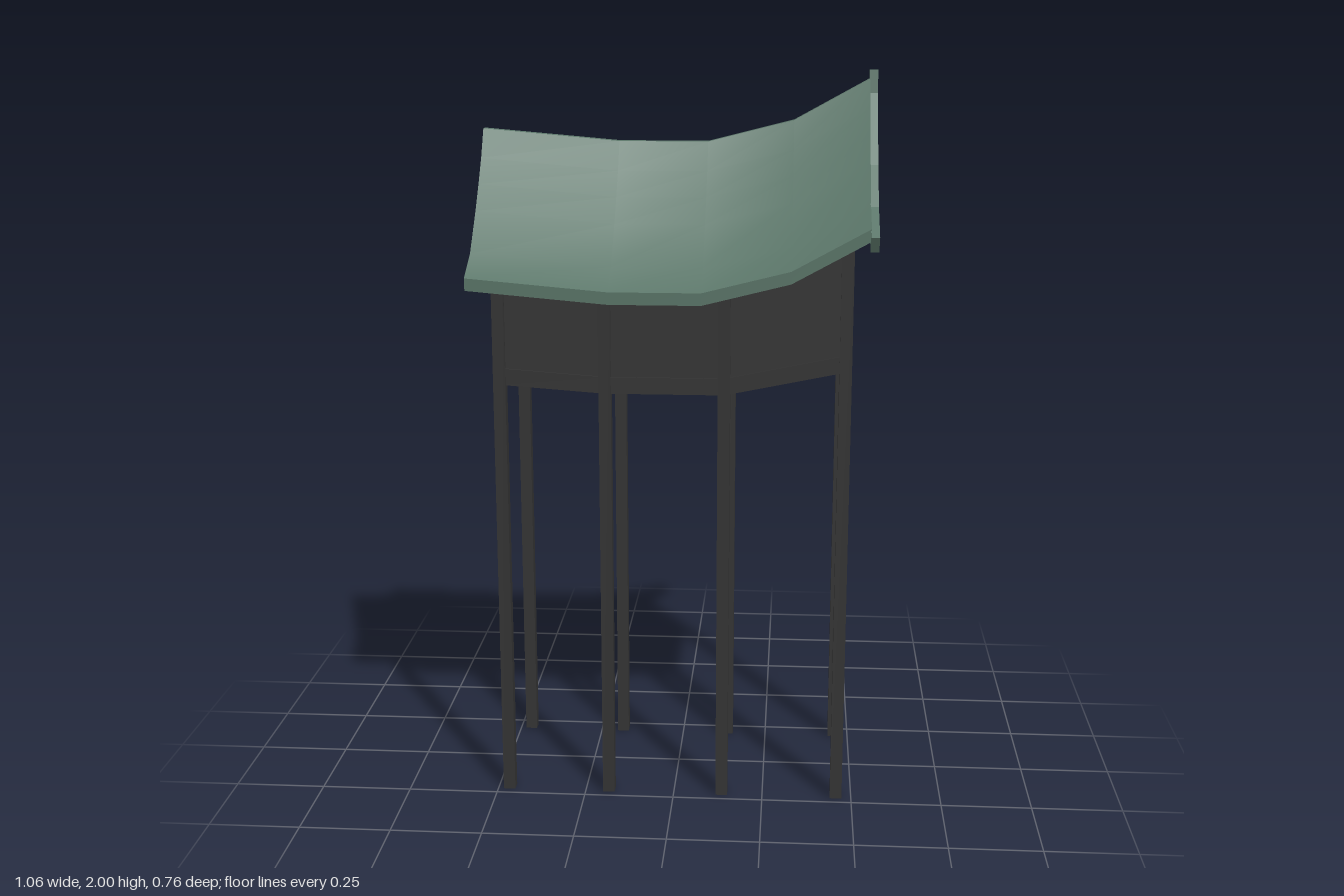
import * as THREE from 'three';

const roofGreen = new THREE.MeshStandardMaterial({ color: 0x5c776a, side: THREE.DoubleSide });
roofGreen.name = 'roof green';
const darkWood = new THREE.MeshStandardMaterial({ color: 0x333333 });
darkWood.name = 'dark wood';

// Ridge line [x, y] and half cross-section [z, drop below the ridge]
const RIDGE = [[-0.53, 1.842], [-0.16, 1.81], [0.08, 1.81], [0.31, 1.868], [0.51, 1.978]];
const SLOPE = [[0.015, 0], [0.06, 0.075], [0.11, 0.14], [0.165, 0.205], [0.26, 0.305], [0.355, 0.355]];
const LIP = [[0.355, 0.355], [0.352, 0.388]];
const CREST = [[-0.015, 0], [0.015, 0]];

// Post centres with the height of the post top and of the wall's lower edge
const POSTS = [
  { x: -0.468, top: 1.52, low: 1.178 },
  { x: -0.184, top: 1.49, low: 1.158 },
  { x: 0.135, top: 1.49, low: 1.158 },
  { x: 0.457, top: 1.6, low: 1.225 },
];
const POST_Z = 0.21;

function add(group, name, geometry, material, x = 0, y = 0, z = 0) {
  const mesh = new THREE.Mesh(geometry, material);
  mesh.name = name;
  mesh.position.set(x, y, z);
  group.add(mesh);
  return mesh;
}

// Sweeps a cross-section along the sagging ridge; side = 1 front, -1 back
function sweep(section, side) {
  const positions = [], index = [], n = section.length;
  for (const [x, y] of RIDGE) {
    for (const [z, drop] of section) positions.push(x, y - drop, z * side);
  }
  for (let i = 0; i < RIDGE.length - 1; i++) {
    for (let j = 0; j < n - 1; j++) {
      const a = i * n + j, b = a + 1, c = a + n, d = c + 1;
      if (side > 0) index.push(a, b, c, b, d, c);
      else index.push(a, c, b, b, c, d);
    }
  }
  const geometry = new THREE.BufferGeometry();
  geometry.setAttribute('position', new THREE.Float32BufferAttribute(positions, 3));
  geometry.setIndex(index);
  geometry.computeVertexNormals();
  return geometry;
}

// Extrudes an outline by a depth, centred on its own plane
function plate(points, depth) {
  const shape = new THREE.Shape(points.map(([x, y]) => new THREE.Vector2(x, y)));
  const geometry = new THREE.ExtrudeGeometry(shape, { depth, bevelEnabled: false });
  return geometry.translate(0, 0, -depth / 2);
}

// Mirrors a half outline (first and last points may lie on the axis)
function mirrored(half) {
  const other = half.filter(([x]) => x > 0).map(([x, y]) => [-x, y]).reverse();
  return [...half, ...other];
}

export function createModel() {
  const model = new THREE.Group();
  model.name = 'raisedGateRoof';

  // Curved roof sheets with a folded eave lip
  const roof = new THREE.Group();
  roof.name = 'roof';
  model.add(roof);
  for (const side of [1, -1]) {
    const label = side > 0 ? 'front' : 'back';
    add(roof, label + 'Slope', sweep(SLOPE, side), roofGreen);
    add(roof, label + 'EaveLip', sweep(LIP, side), roofGreen);
  }
  add(roof, 'ridgeCrest', sweep(CREST, 1), roofGreen);

  // Upswept board that closes the gable edge
  const board = mirrored([
    [0, 1.885], [0.15, 1.71], [0.25, 1.615], [0.355, 1.565], [0.38, 1.605],
    [0.265, 1.668], [0.165, 1.765], [0.02, 1.94], [0.015, 2.0],
  ]);
  add(roof, 'bargeBoard', plate(board, 0.022), roofGreen, 0.519).rotation.y = Math.PI / 2;

  // Posts
  const posts = new THREE.Group();
  posts.name = 'posts';
  model.add(posts);
  for (const side of [1, -1]) {
    for (const p of POSTS) {
      add(posts, 'post', new THREE.BoxGeometry(0.033, p.top, 0.033), darkWood, p.x, p.top / 2, side * POST_Z);
    }
  }

  // Long walls between the posts, with a thicker rail along the lower edge
  const walls = new THREE.Group();
  walls.name = 'walls';
  model.add(walls);
  for (const side of [1, -1]) {
    for (let i = 0; i < POSTS.length - 1; i++) {
      const a = POSTS[i], b = POSTS[i + 1];
      const panel = [[a.x, a.low], [b.x, b.low], [b.x, b.top - 0.02], [a.x, a.top - 0.02]];
      const rail = [[a.x, a.low], [b.x, b.low], [b.x, b.low + 0.045], [a.x, a.low + 0.045]];
      add(walls, 'wallPanel', plate(panel, 0.014), darkWood, 0, 0, side * POST_Z);
      add(walls, 'wallRail', plate(rail, 0.026), darkWood, 0, 0, side * POST_Z);
    }
  }

  // End wall and gable
  const end = new THREE.Group();
  end.name = 'endWall';
  model.add(end);
  const x = POSTS[3].x;
  add(end, 'endPanel', new THREE.BoxGeometry(0.014, 0.375, 0.4), darkWood, x, 1.41, 0);
  add(end, 'endRail', new THREE.BoxGeometry(0.026, 0.055, 0.4), darkWood, x, 1.252, 0);
  const gable = mirrored([[0.25, 1.6], [0.24, 1.635], [0.15, 1.73], [0.08, 1.82], [0, 1.915]]);
  add(end, 'gablePanel', plate(gable, 0.014), darkWood, x + 0.01).rotation.y = Math.PI / 2;
  add(end, 'gableBeam', new THREE.BoxGeometry(0.045, 0.036, 0.51), darkWood, x + 0.008, 1.603, 0);
  add(end, 'gableCollar', new THREE.BoxGeometry(0.036, 0.028, 0.26), darkWood, x + 0.01, 1.736, 0);

  return model;
}
